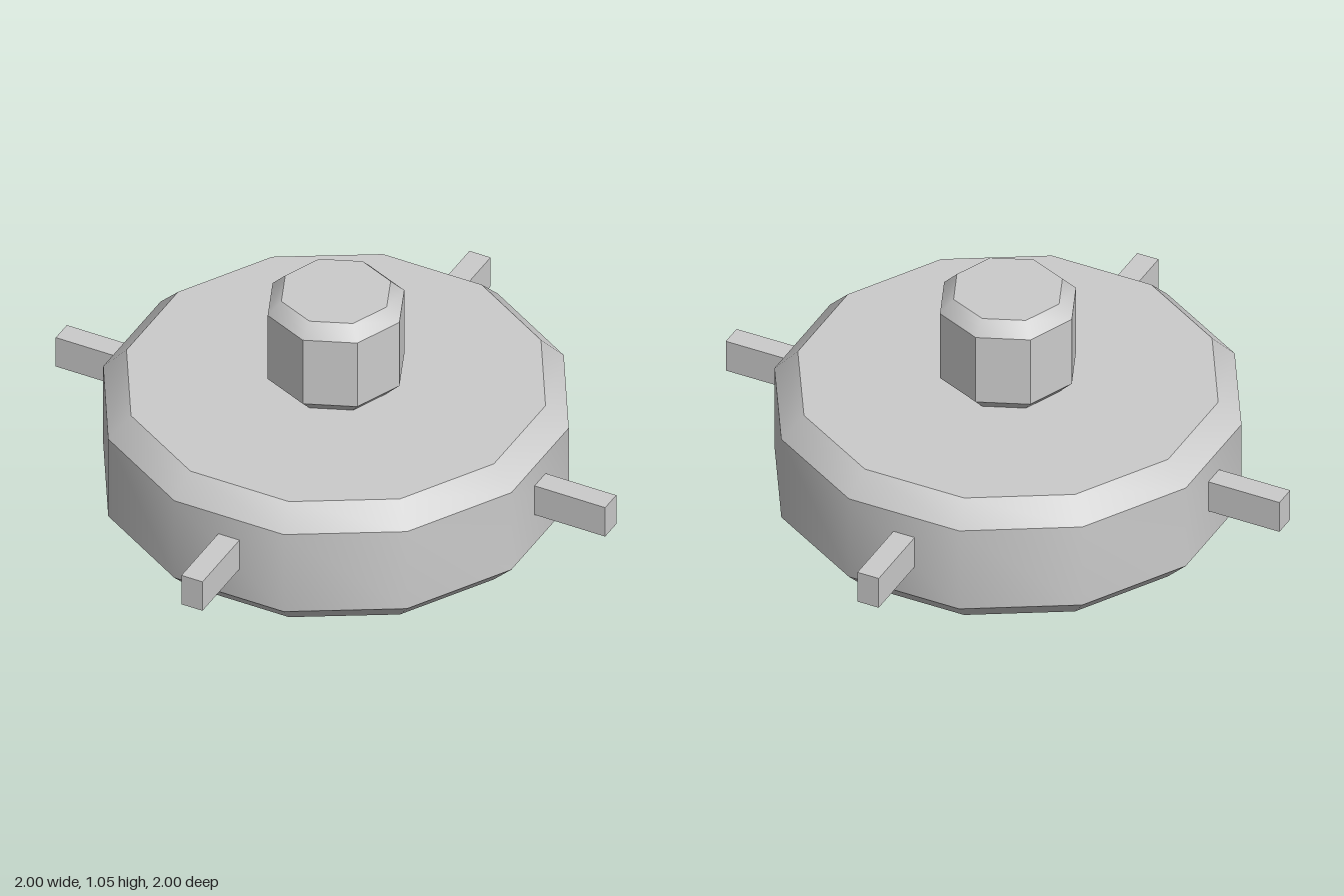
import * as THREE from 'three';
import { toCreasedNormals } from 'three/addons/utils/BufferGeometryUtils.js';

const material = new THREE.MeshStandardMaterial({ color: 0xcccccc });

// Faceted drum with chamfered top and bottom rims
function chamferedDrum(name, radius, bottom, top, chamfer, sides) {
  const profile = [
    [0, bottom],
    [radius - chamfer, bottom],
    [radius, bottom + chamfer],
    [radius, top - chamfer],
    [radius - chamfer, top],
    [0, top],
  ].map(([r, y]) => new THREE.Vector2(r, y));
  const geometry = toCreasedNormals(
    new THREE.LatheGeometry(profile, sides),
    THREE.MathUtils.degToRad(40)
  );
  const mesh = new THREE.Mesh(geometry, material);
  mesh.name = name;
  return mesh;
}

export function createModel() {
  const model = new THREE.Group();
  model.name = 'discWithKnob';

  // Twelve-sided body and eight-sided knob
  model.add(chamferedDrum('body', 1, 0, 0.6, 0.1, 12));
  model.add(chamferedDrum('knob', 0.3, 0.6, 1.05, 0.06, 8));

  // Four diagonal prongs, rooted inside the body wall
  const inner = 0.9, outer = 1.3;
  const prongGeometry = new THREE.BoxGeometry(outer - inner, 0.15, 0.1);
  prongGeometry.translate((inner + outer) / 2, 0.325, 0);
  for (let i = 0; i < 4; i++) {
    const prong = new THREE.Mesh(prongGeometry, material);
    prong.name = `prong${i + 1}`;
    prong.rotation.y = Math.PI / 4 + (i * Math.PI) / 2;
    model.add(prong);
  }

  return model;
}
